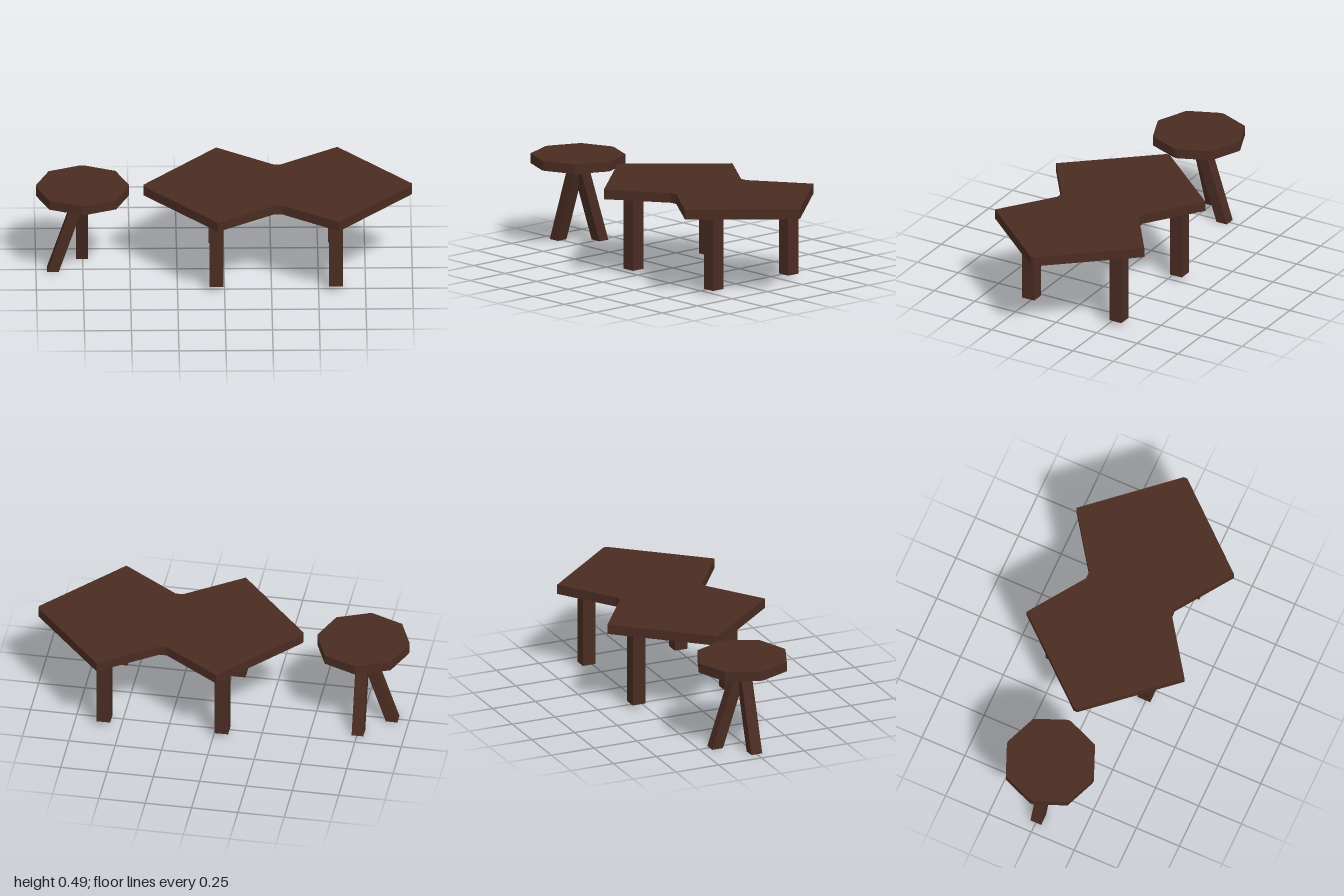
import * as THREE from 'three';

const SLAB_BOTTOM = 0.44;
const SLAB_TOP = 0.493;

// Flat slab from an outline given as [x, z] points along the back half, mirrored to the front
function slab(name, half, material) {
  const mirrored = half.map(([x, z]) => [x, -z]).reverse();
  const shape = new THREE.Shape([...half, ...mirrored].map(([x, z]) => new THREE.Vector2(x, -z)));
  const geometry = new THREE.ExtrudeGeometry(shape, { depth: SLAB_TOP - SLAB_BOTTOM, bevelEnabled: false });
  geometry.rotateX(-Math.PI / 2);
  geometry.translate(0, SLAB_BOTTOM, 0);
  const mesh = new THREE.Mesh(geometry, material);
  mesh.name = name;
  return mesh;
}

// Square leg with level ends, slanting from its foot to its top
function leg(name, width, bottomY, foot, top, material) {
  const height = SLAB_BOTTOM - bottomY;
  const geometry = new THREE.BoxGeometry(width, height, width);
  const p = geometry.attributes.position;
  for (let i = 0; i < p.count; i++) {
    const end = p.getY(i) > 0 ? top : foot;
    p.setXYZ(i, p.getX(i) + end[0], p.getY(i) + bottomY + height / 2, p.getZ(i) + end[1]);
  }
  geometry.computeVertexNormals();
  const mesh = new THREE.Mesh(geometry, material);
  mesh.name = name;
  return mesh;
}

export function createModel() {
  const wood = new THREE.MeshStandardMaterial({ color: 0x4a2c22 });
  wood.name = 'dark wood';
  const model = new THREE.Group();
  model.name = 'tableAndStool';

  // Table: waisted top on four straight legs
  const table = new THREE.Group();
  table.name = 'table';
  table.add(slab('tableTop', [
    [-0.428, -0.01], [-0.037, -0.46], [0.265, -0.25],
    [0.305, -0.25], [0.607, -0.46], [1, -0.01],
  ], wood));
  for (const x of [-0.043, 0.593]) {
    for (const z of [0.242, -0.295]) {
      table.add(leg('tableLeg', 0.074, 0.026, [x, z], [x, z], wood));
    }
  }

  // Stool: eight-sided seat on two slanting legs
  const stool = new THREE.Group();
  stool.name = 'stool';
  stool.add(slab('stoolSeat', [
    [-1, -0.01], [-0.93, -0.18], [-0.76, -0.25],
    [-0.745, -0.25], [-0.575, -0.18], [-0.505, -0.01],
  ], wood));
  stool.add(leg('sideStoolLeg', 0.063, 0, [-0.91, 0], [-0.762, 0], wood));
  stool.add(leg('backStoolLeg', 0.063, 0, [-0.753, -0.158], [-0.753, -0.012], wood));

  model.add(table, stool);
  return model;
}
